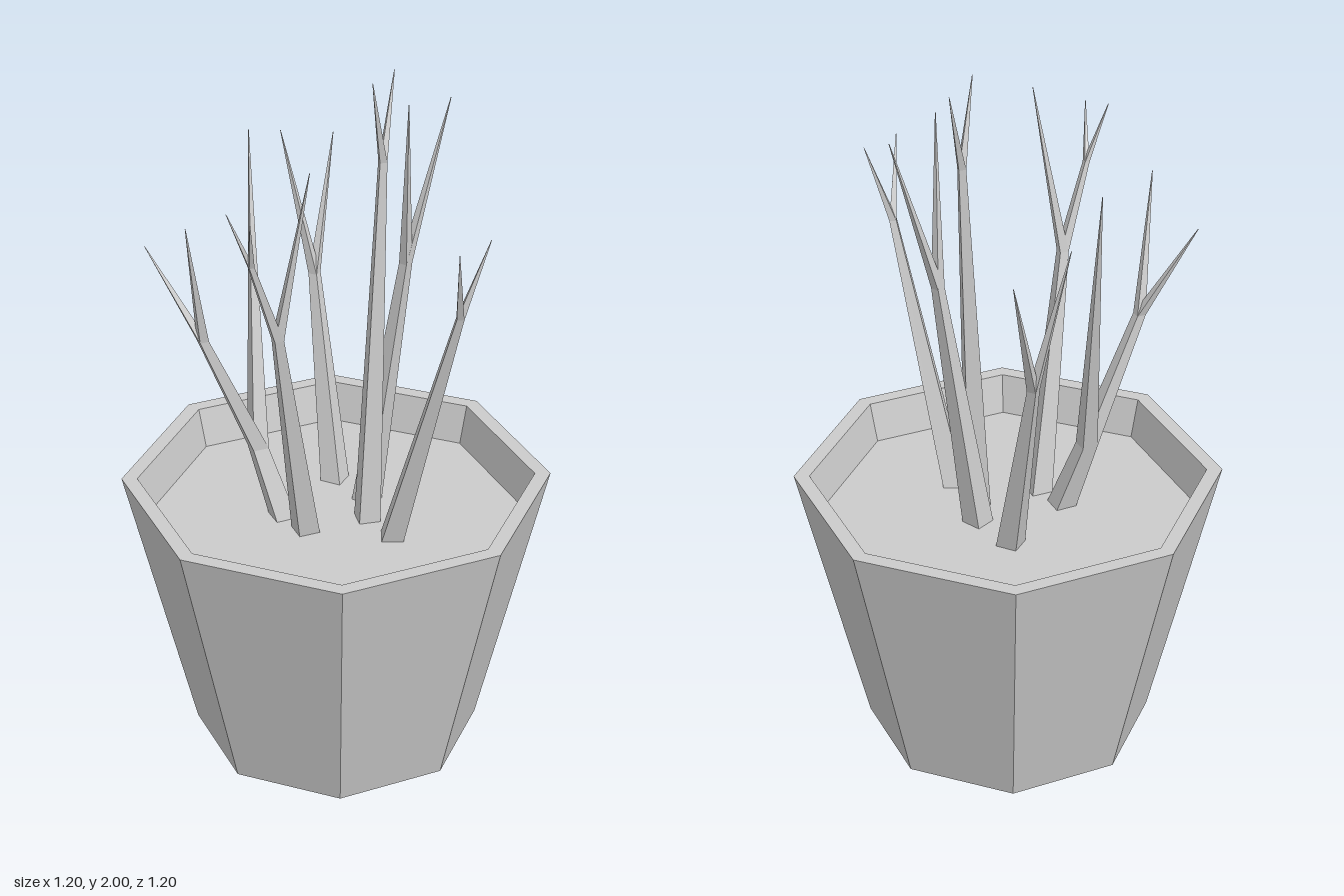
import * as THREE from 'three';

const material = new THREE.MeshStandardMaterial({ color: 0xcccccc, flatShading: true });
const SOIL_Y = 0.7;

function addMesh(parent, name, geometry) {
  const mesh = new THREE.Mesh(geometry, material);
  mesh.name = name;
  parent.add(mesh);
  return mesh;
}

// Four-sided tapering limb between two points [x, y, z, radius], with level ends
function limb(parent, name, from, to, turn) {
  const geometry = new THREE.CylinderGeometry(to[3], from[3], 1, 4, 1, true, turn);
  const position = geometry.attributes.position;
  for (let i = 0; i < position.count; i++) {
    const end = position.getY(i) > 0 ? to : from;
    position.setXYZ(i, position.getX(i) + end[0], end[1], position.getZ(i) + end[2]);
  }
  geometry.computeVertexNormals();
  addMesh(parent, name, geometry);
}

// A node is { at: [x, y, z, radius], forks: [nodes] }; a bare [x, y, z] is a pointed tip
function grow(parent, from, node, turn, name) {
  if (Array.isArray(node)) {
    limb(parent, 'twig', from, [...node, 0.001], turn);
    return;
  }
  limb(parent, name, from, node.at, turn);
  node.forks.forEach((next) => grow(parent, node.at, next, turn, 'branch'));
}

const stems = [
  // front
  { base: [0.01, 0.205], top: { at: [0.005, 1.46, 0.435, 0.014],
    forks: [[-0.065, 1.68, 0.487], [0.06, 1.68, 0.485]] } },
  // left side of the front view
  { base: [-0.13, 0.005], top: { at: [-0.295, 1.38, 0.07, 0.018],
    forks: [[-0.252, 1.86, 0.147],
      { at: [-0.385, 1.62, 0.068, 0.01], forks: [[-0.447, 1.78, 0.045], [-0.437, 1.77, 0.12]] }] } },
  // back, branching low down
  { base: [-0.12, -0.095], top: { at: [-0.148, 0.91, -0.16, 0.032],
    forks: [[-0.005, 1.77, -0.322],
      { at: [-0.3, 1.28, -0.21, 0.018], forks: [[-0.385, 1.55, -0.335], [-0.4, 1.66, -0.157]] }] } },
  // back, right side of the front view
  { base: [0.13, -0.13], top: { at: [0.21, 1.28, -0.285, 0.018],
    forks: [[0.17, 1.7, -0.375], [0.35, 1.65, -0.345]] } },
  // right side of the front view
  { base: [0.11, 0.015], top: { at: [0.185, 1.44, 0.083, 0.018],
    forks: [[0.32, 1.89, 0.115], [0.145, 1.92, 0.122]] } },
  // centre, tallest
  { base: [0.035, 0.087], top: { at: [0.1, 1.76, 0.073, 0.014],
    forks: [[0.04, 2.0, 0.09], [0.17, 1.99, 0.047]] } },
];

export function createModel() {
  const model = new THREE.Group();
  model.name = 'pottedPlant';

  // Octagonal pot: base, sloped wall, flat rim, inner wall
  const profile = [[0, 0], [0.41, 0], [0.602, 0.815], [0.558, 0.815], [0.531, SOIL_Y]];
  addMesh(model, 'pot', new THREE.LatheGeometry(profile.map(([r, y]) => new THREE.Vector2(r, y)), 8));

  // Soil
  const soil = addMesh(model, 'soil', new THREE.CircleGeometry(0.531, 8));
  soil.rotation.x = -Math.PI / 2;
  soil.position.y = SOIL_Y;

  // Bare forked stems, each with one corner facing the way it leans
  stems.forEach(({ base: [x, z], top }) => {
    const stem = new THREE.Group();
    stem.name = 'stem';
    model.add(stem);
    const turn = Math.atan2(top.at[0] - x, top.at[2] - z);
    grow(stem, [x, SOIL_Y, z, 0.043], top, turn, 'trunk');
  });

  return model;
}
